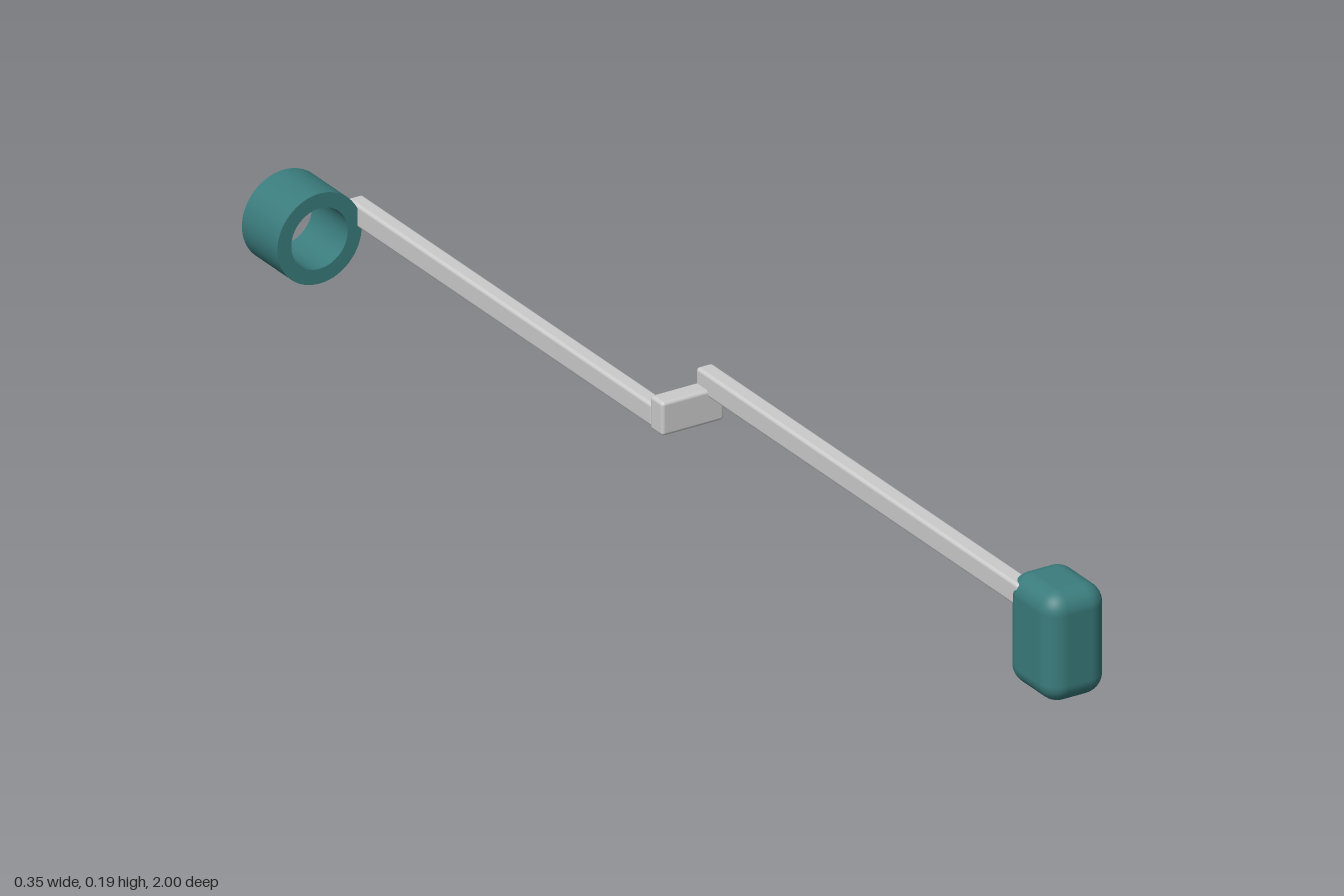
import * as THREE from 'three';
import { RoundedBoxGeometry } from 'three/addons/geometries/RoundedBoxGeometry.js';

export function createModel() {
  const model = new THREE.Group();
  model.name = 'crank';
  const grey = new THREE.MeshStandardMaterial({ color: 0xcccccc });
  const teal = new THREE.MeshStandardMaterial({ color: 0x3b7c7d });

  // Rounded block spanning two opposite corners
  function block(name, min, max, radius, segments, material) {
    const size = max.map((v, i) => v - min[i]);
    const mesh = new THREE.Mesh(new RoundedBoxGeometry(...size, segments, radius), material);
    mesh.position.set(...min.map((v, i) => (v + max[i]) / 2));
    mesh.name = name;
    model.add(mesh);
  }

  // Front rod, with a riser dropping to the offset crossbar
  block('frontRod', [0.062, 0.14, -0.041], [0.093, 0.18, 0.9], 0.006, 3, grey);
  block('riser', [0.062, 0.094, -0.041], [0.093, 0.18, -0.004], 0.006, 3, grey);
  block('crossbar', [-0.024, 0.094, -0.041], [0.093, 0.153, -0.004], 0.006, 3, grey);

  // Rear rod, running back to the ring
  block('rearRod', [-0.024, 0.098, -0.927], [0.005, 0.138, -0.035], 0.006, 3, grey);

  // Rounded end block
  block('endBlock', [0.06, 0, 0.864], [0.173, 0.193, 1], 0.035, 6, teal);

  // Hollow ring: a rectangular section revolved, with each face kept sharp
  const inner = 0.053, outer = 0.079, half = 0.052;
  const corners = [[inner, -half], [outer, -half], [outer, half], [inner, half], [inner, -half]];
  const ring = new THREE.Group();
  ring.name = 'ring';
  for (let i = 0; i < 4; i++) {
    const edge = [corners[i], corners[i + 1]].map(([r, y]) => new THREE.Vector2(r, y));
    const face = new THREE.Mesh(new THREE.LatheGeometry(edge, 64), teal);
    face.name = ['ringFrontFace', 'ringOuterWall', 'ringBackFace', 'ringBore'][i];
    ring.add(face);
  }
  ring.rotation.x = -Math.PI / 2;
  ring.position.set(-0.095, 0.098, -0.948);
  model.add(ring);

  return model;
}
